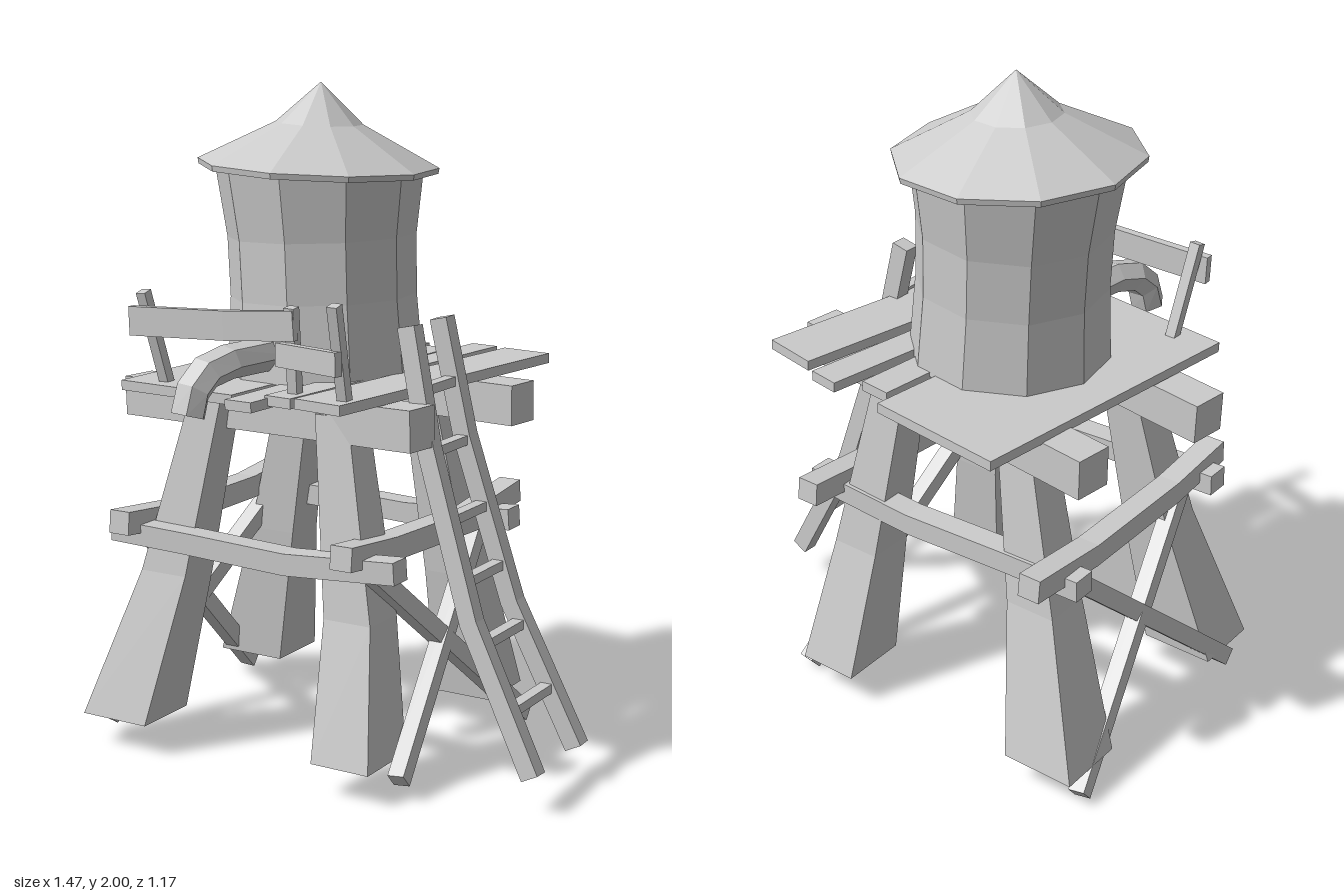
import * as THREE from 'three';

const material = new THREE.MeshStandardMaterial({ color: 0xcccccc, flatShading: true });
const V = (p) => new THREE.Vector3(...p);

export function createModel() {
  const model = new THREE.Group();

  const add = (name, geometry) => {
    const mesh = new THREE.Mesh(geometry, material);
    mesh.name = name;
    model.add(mesh);
    return mesh;
  };

  // Skin a stack of rings (counter-clockwise around the direction of travel) and cap both ends
  const loft = (name, rings) => {
    const pos = [];
    const tri = (...pts) => pts.forEach((p) => pos.push(p.x, p.y, p.z));
    const n = rings[0].length;
    for (let i = 0; i < rings.length - 1; i++) {
      for (let j = 0; j < n; j++) {
        const k = (j + 1) % n;
        const [a, b, c, d] = [rings[i][j], rings[i][k], rings[i + 1][k], rings[i + 1][j]];
        tri(a, b, c);
        tri(a, c, d);
      }
    }
    const first = rings[0], last = rings[rings.length - 1];
    for (let j = 1; j < n - 1; j++) {
      tri(first[0], first[j + 1], first[j]);
      tri(last[0], last[j], last[j + 1]);
    }
    const g = new THREE.BufferGeometry();
    g.setAttribute('position', new THREE.Float32BufferAttribute(pos, 3));
    g.computeVertexNormals();
    return add(name, g);
  };

  const rect = [[1, 1], [-1, 1], [-1, -1], [1, -1]];
  const hexagon = Array.from({ length: 6 }, (_, i) => [Math.cos(i * Math.PI / 3), Math.sin(i * Math.PI / 3)]);

  // Sweep a section, w wide and h high, along a bent path
  const sweep = (name, path, w, h, up = [0, 1, 0], section = rect) => {
    const pts = path.map(V);
    const rings = pts.map((p, i) => {
      const t = new THREE.Vector3();
      if (i > 0) t.add(p.clone().sub(pts[i - 1]).normalize());
      if (i < pts.length - 1) t.add(pts[i + 1].clone().sub(p).normalize());
      t.normalize();
      const s = V(up).cross(t).normalize();
      const u = t.clone().cross(s);
      return section.map(([a, b]) => p.clone().addScaledVector(s, a * w / 2).addScaledVector(u, b * h / 2));
    });
    return loft(name, rings);
  };

  // Ten-sided tank, waisted in the middle
  const turned = (name, profile, x, tilt) => {
    const pts = profile.map(([r, y]) => new THREE.Vector2(r, y));
    const mesh = add(name, new THREE.LatheGeometry(pts, 10, Math.PI / 18));
    mesh.position.set(x, 1.75, -0.05);
    mesh.rotation.z = tilt;
  };
  turned('tank', [[0, -0.61], [0.295, -0.61], [0.28, -0.38], [0.283, -0.2], [0.31, 0], [0, 0]], -0.168, 0.03);

  // Tilted roof with a thin rim and a steeper peak
  turned('roof', [[0, -0.005], [0.357, -0.005], [0.36, 0.012], [0.13, 0.13], [0, 0.25]], -0.174, -0.045);

  // Platform planks: x, y, z, width, length, turn
  [
    [-0.335, 1.13, -0.09, 0.43, 0.97, -0.11],
    [-0.055, 1.135, 0.0, 0.095, 0.98, -0.1],
    [0.06, 1.145, -0.06, 0.095, 0.98, -0.15],
    [0.22, 1.15, -0.02, 0.17, 0.96, -0.18],
  ].forEach(([x, y, z, w, l, turn]) => {
    const plank = add('platformPlank', new THREE.BoxGeometry(w, 0.03, l));
    plank.position.set(x, y, z);
    plank.rotation.set(0.02, turn, 0.015);
  });

  // Heavy beams under the planks
  sweep('frontBeam', [[-0.73, 1.04, 0.115], [0.36, 1.07, 0.26]], 0.115, 0.12);
  sweep('rearBeam', [[-0.66, 1.06, -0.355], [0.435, 1.07, -0.21]], 0.115, 0.12);

  // Splayed legs, widening below the knee; levels are [y, x min, x max, z min, z max]
  const leg = (name, levels, mirrorZ) => loft(name, levels.map(([y, x0, x1, za, zb]) => {
    const [z0, z1] = mirrorZ ? [-zb - 0.045, -za - 0.045] : [za, zb];
    return [[x1, y, z1], [x1, y, z0], [x0, y, z0], [x0, y, z1]].map(V);
  }));
  const rightLeg = [[0.1, -0.71, -0.48, 0.24, 0.455], [0.55, -0.56, -0.4, 0.2, 0.345], [1.08, -0.42, -0.31, 0.17, 0.28]];
  const leftLeg = [[0.1, 0.11, 0.3, 0.24, 0.455], [0.5, 0.09, 0.245, 0.2, 0.35], [1.08, 0.02, 0.13, 0.17, 0.28]];
  for (const rear of [false, true]) {
    const end = rear ? 'rear' : 'front';
    leg(end + 'RightLeg', rightLeg, rear);
    leg(end + 'LeftLeg', leftLeg, rear);
  }

  // Sagging rails around the legs
  for (const [name, z] of [['frontRail', 0.355], ['rearRail', -0.345]]) {
    sweep(name, [[-0.635, 0.675, z], [-0.36, 0.668, z], [-0.02, 0.655, z], [0.345, 0.68, z]], 0.075, 0.065);
  }
  for (const [name, x0, x1] of [['leftRail', 0.21, 0.25], ['rightRail', -0.56, -0.56]]) {
    sweep(name, [[x0, 0.72, 0.45], [x0, 0.695, 0.2], [x1, 0.695, -0.22], [x1, 0.725, -0.505]], 0.07, 0.07);
  }

  // Crossed braces on both sides
  for (const [name, low, high] of [['leftBrace', 0.34, 0.235], ['rightBrace', -0.7, -0.52]]) {
    sweep(name, [[low, 0.06, 0.35], [high, 0.665, -0.32]], 0.055, 0.05, [1, 0, 0]);
    sweep(name, [[low, 0.026, -0.435], [high, 0.665, 0.345]], 0.055, 0.05, [1, 0, 0]);
  }

  // Ladder with bent stiles, flaring toward the ground
  const ladder = [[0.27, 1.34], [0.345, 1.0], [0.5, 0.52], [0.71, 0.11]];
  const stileZ = (y, front) => front
    ? THREE.MathUtils.lerp(0.24, 0.175, (y - 0.1) / 1.24)
    : THREE.MathUtils.lerp(-0.045, -0.012, (y - 0.1) / 1.24);
  for (const front of [true, false]) {
    sweep('ladderStile', ladder.map(([x, y]) => [x, y, stileZ(y, front)]), 0.05, 0.055, [1, 0, 0]);
  }
  for (const y of [0.28, 0.46, 0.63, 0.8, 0.99, 1.16]) {
    const i = ladder.findIndex((p) => p[1] < y);
    const [[xa, ya], [xb, yb]] = [ladder[i - 1], ladder[i]];
    const x = xa + (xb - xa) * (y - ya) / (yb - ya);
    sweep('ladderRung', [[x, y, stileZ(y, false)], [x, y, stileZ(y, true)]], 0.035, 0.028);
  }

  // Front railing: leaning posts and two crooked boards
  [
    [[-0.47, 1.13, 0.32], [-0.49, 1.41, 0.4]],
    [[0.0, 1.12, 0.35], [0.01, 1.4, 0.385]],
    [[0.19, 1.13, 0.39], [0.2, 1.43, 0.465]],
  ].forEach((path) => sweep('railingPost', path, 0.032, 0.032, [0, 0, 1]));
  sweep('railingBoard', [[-0.52, 1.325, 0.42], [-0.2, 1.335, 0.405], [0.025, 1.35, 0.39]], 0.026, 0.085);
  sweep('railingBoard', [[-0.03, 1.265, 0.39], [0.21, 1.268, 0.46]], 0.026, 0.068);

  // Spout bending down over the platform edge
  sweep('spout', [[-0.18, 1.225, 0.15], [-0.21, 1.225, 0.38], [-0.23, 1.205, 0.46], [-0.24, 1.16, 0.51], [-0.245, 1.09, 0.53]],
    0.11, 0.1, [0, 0.7, 0.7], hexagon);

  return model;
}
